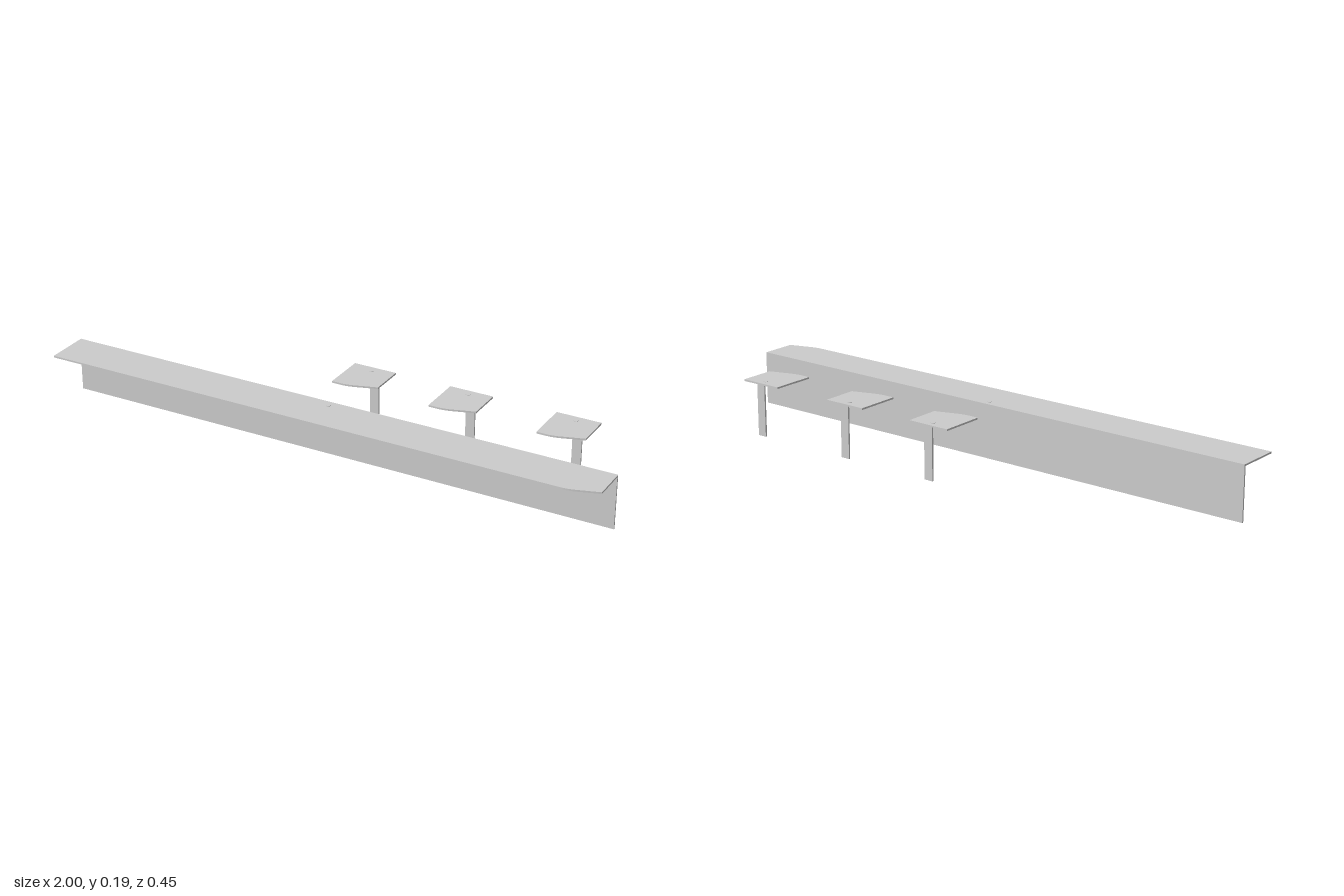
import * as THREE from 'three';

const TOP = 0.189, THICK = 0.006, DEPTH = 0.158;

const material = new THREE.MeshStandardMaterial({ color: 0xcccccc });

function addMesh(group, name, geometry, x, y, z) {
  const mesh = new THREE.Mesh(geometry, material);
  mesh.name = name;
  mesh.position.set(x, y, z);
  group.add(mesh);
}

// Slab with its front corner on the +x side swept back in a soft bend.
// Shape is drawn in x and depth (0 = back edge), then laid flat.
function topGeometry(width) {
  const w = width / 2;
  const s = new THREE.Shape();
  s.moveTo(-w, 0);
  s.lineTo(w, 0);
  s.lineTo(w, DEPTH - 0.0325);
  s.lineTo(w - 0.075, DEPTH - 0.008);
  s.quadraticCurveTo(w - 0.1, DEPTH, w - 0.123, DEPTH);
  s.lineTo(-w, DEPTH);
  s.closePath();
  const g = new THREE.ExtrudeGeometry(s, { depth: THICK, bevelEnabled: false, curveSegments: 8 });
  return g.rotateX(Math.PI / 2); // shape y becomes +z, thickness runs downward
}

// A top carried by an upright along its back edge, with a cable cap
function makeUnit(name, x, backZ, width, supportName, supportWidth) {
  const unit = new THREE.Group();
  unit.name = name;
  unit.position.set(x, 0, backZ);
  const h = TOP - THICK;
  addMesh(unit, 'top', topGeometry(width), 0, TOP, 0);
  addMesh(unit, supportName, new THREE.BoxGeometry(supportWidth, h, THICK), 0, h / 2, THICK / 2);
  addMesh(unit, 'cableCap', new THREE.CylinderGeometry(0.008, 0.008, 0.0015, 24), 0, TOP + 0.00075, 0.026);
  return unit;
}

export function createModel() {
  const model = new THREE.Group();
  model.name = 'counterSet';

  // Long counter with a full-width back panel
  model.add(makeUnit('counter', 0, 0.068, 2, 'backPanel', 2));

  // Three small tables on narrow posts
  [0, 0.36, 0.743].forEach((x, i) => {
    model.add(makeUnit(`smallTable${i + 1}`, x, -0.226, 0.156, 'post', 0.033));
  });
  return model;
}
